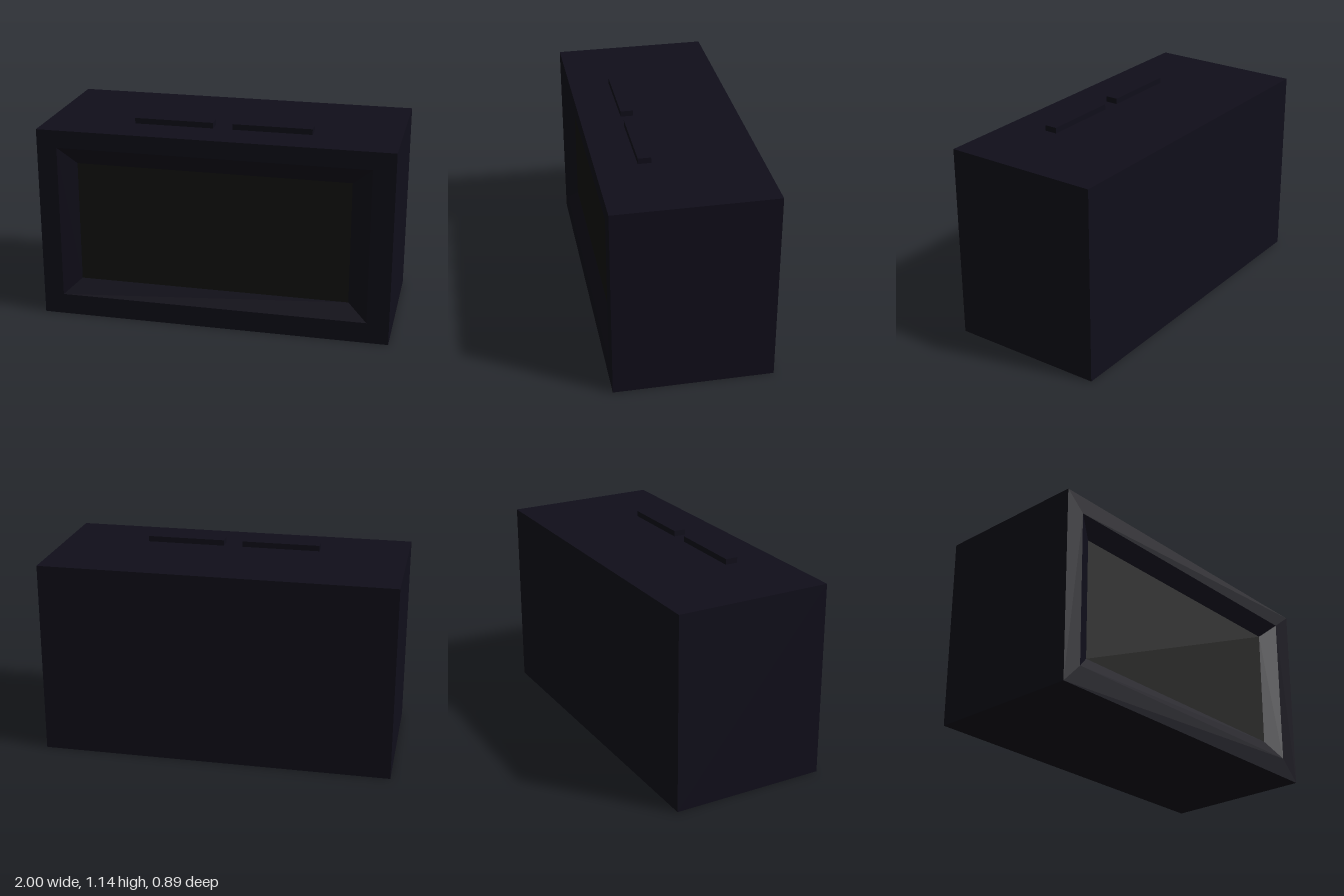
import * as THREE from 'three';

const W = 2, H = 1.11, D = 0.89, FRONT = D / 2, RECESS = 0.055;

// Corners counter-clockwise as seen from the front
const rect = (x0, x1, y0, y1) => [[x0, y0], [x1, y0], [x1, y1], [x0, y1]];
const toPoints = (corners) => corners.map(([x, y]) => new THREE.Vector2(x, y));

export function createModel() {
  const group = new THREE.Group();
  const dark = new THREE.MeshStandardMaterial({ color: 0x100e1a });
  const black = new THREE.MeshStandardMaterial({ color: 0x131311 });

  const add = (name, geometry, material, x = 0, y = 0, z = 0) => {
    const mesh = new THREE.Mesh(geometry, material);
    mesh.name = name;
    mesh.position.set(x, y, z);
    group.add(mesh);
  };

  const outer = rect(-0.885, 0.875, 0.12, 1.01);
  const inner = rect(-0.785, 0.765, 0.21, 0.91);

  // Casing: a box whose front face is left out
  const casing = new THREE.BoxGeometry(W, H, D);
  const index = Array.from(casing.index.array);
  index.splice(24, 6);
  casing.setIndex(index);
  casing.clearGroups();
  add('casing', casing, dark, 0, H / 2, 0);

  // Front panel around the display opening
  const panel = new THREE.Shape(toPoints(rect(-W / 2, W / 2, 0, H)));
  panel.holes.push(new THREE.Path(toPoints(outer)));
  add('frontPanel', new THREE.ShapeGeometry(panel), dark, 0, 0, FRONT);

  // Sloped surround leading in to the display
  const slopes = [];
  for (let i = 0; i < 4; i++) {
    const j = (i + 1) % 4;
    const a = [...outer[i], FRONT], b = [...outer[j], FRONT];
    const c = [...inner[j], FRONT - RECESS], d = [...inner[i], FRONT - RECESS];
    slopes.push(...a, ...b, ...c, ...a, ...c, ...d);
  }
  const surround = new THREE.BufferGeometry();
  surround.setAttribute('position', new THREE.Float32BufferAttribute(slopes, 3));
  surround.computeVertexNormals();
  add('displaySurround', surround, dark);

  // Recessed display
  add('display', new THREE.ShapeGeometry(new THREE.Shape(toPoints(inner))), black, 0, 0, FRONT - RECESS);

  // Two long buttons on top
  for (const [name, x] of [['rightButton', -0.27], ['leftButton', 0.29]]) {
    add(name, new THREE.BoxGeometry(0.45, 0.052, 0.072), dark, x, H + 0.006, 0.178);
  }
  return group;
}
